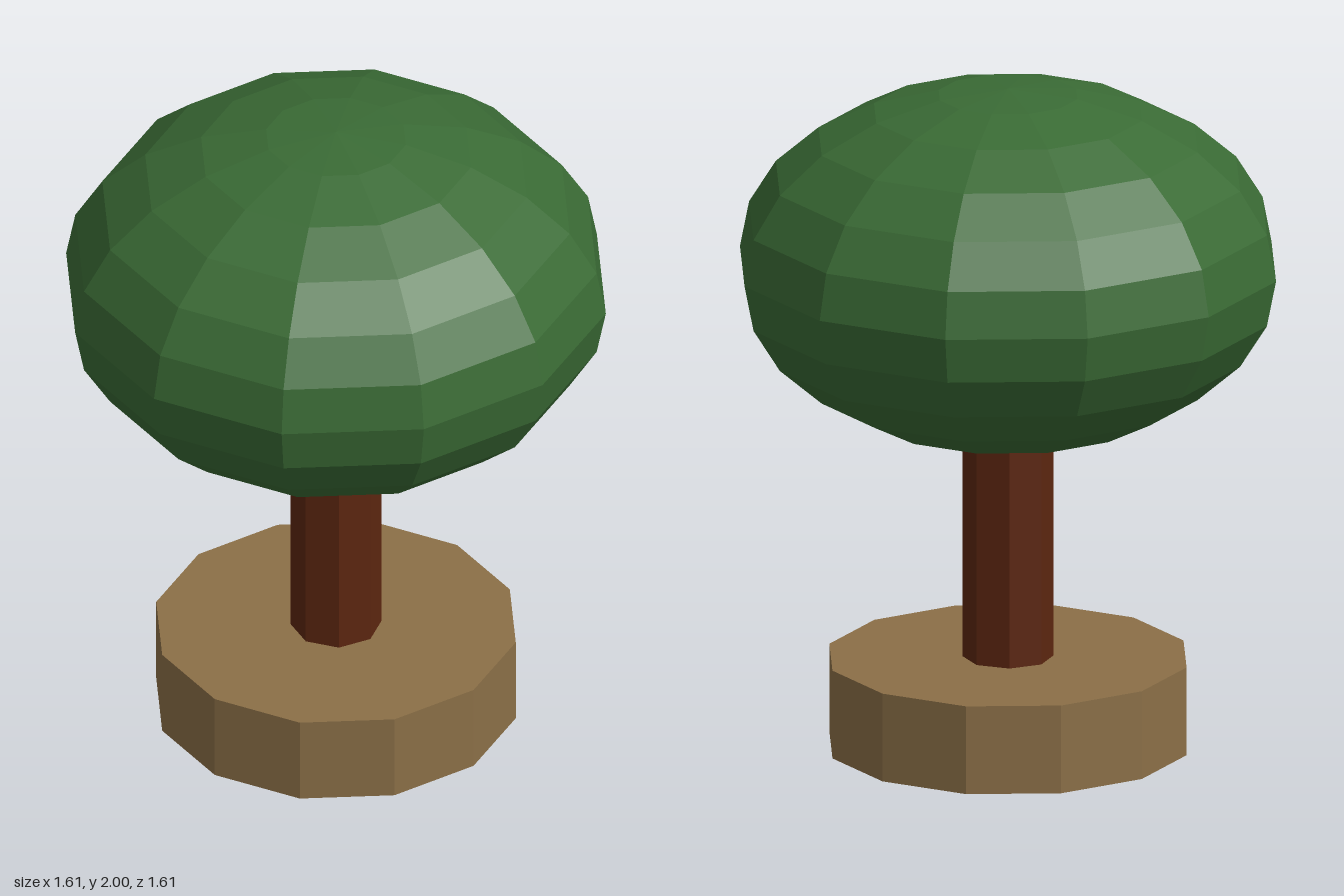
import * as THREE from 'three';

const paint = (color) => new THREE.MeshStandardMaterial({ color, flatShading: true });

// Upright prism standing between two heights
function prism(name, radius, y0, y1, sides, color) {
  const mesh = new THREE.Mesh(new THREE.CylinderGeometry(radius, radius, y1 - y0, sides), paint(color));
  mesh.position.y = (y0 + y1) / 2;
  mesh.name = name;
  return mesh;
}

export function createModel() {
  const tree = new THREE.Group();
  tree.name = 'tree';

  // Round base and trunk, which runs up into the foliage
  tree.add(prism('base', 0.537, 0, 0.268, 12, 0x8b6f47));
  tree.add(prism('trunk', 0.134, 0.268, 1.2, 8, 0x5c2610));

  // Flattened faceted ball of leaves
  const foliage = new THREE.Mesh(new THREE.SphereGeometry(1, 12, 12), paint(0x3a6b35));
  foliage.scale.set(0.806, 0.535, 0.806);
  foliage.position.y = 1.465;
  foliage.name = 'foliage';
  tree.add(foliage);

  return tree;
}
